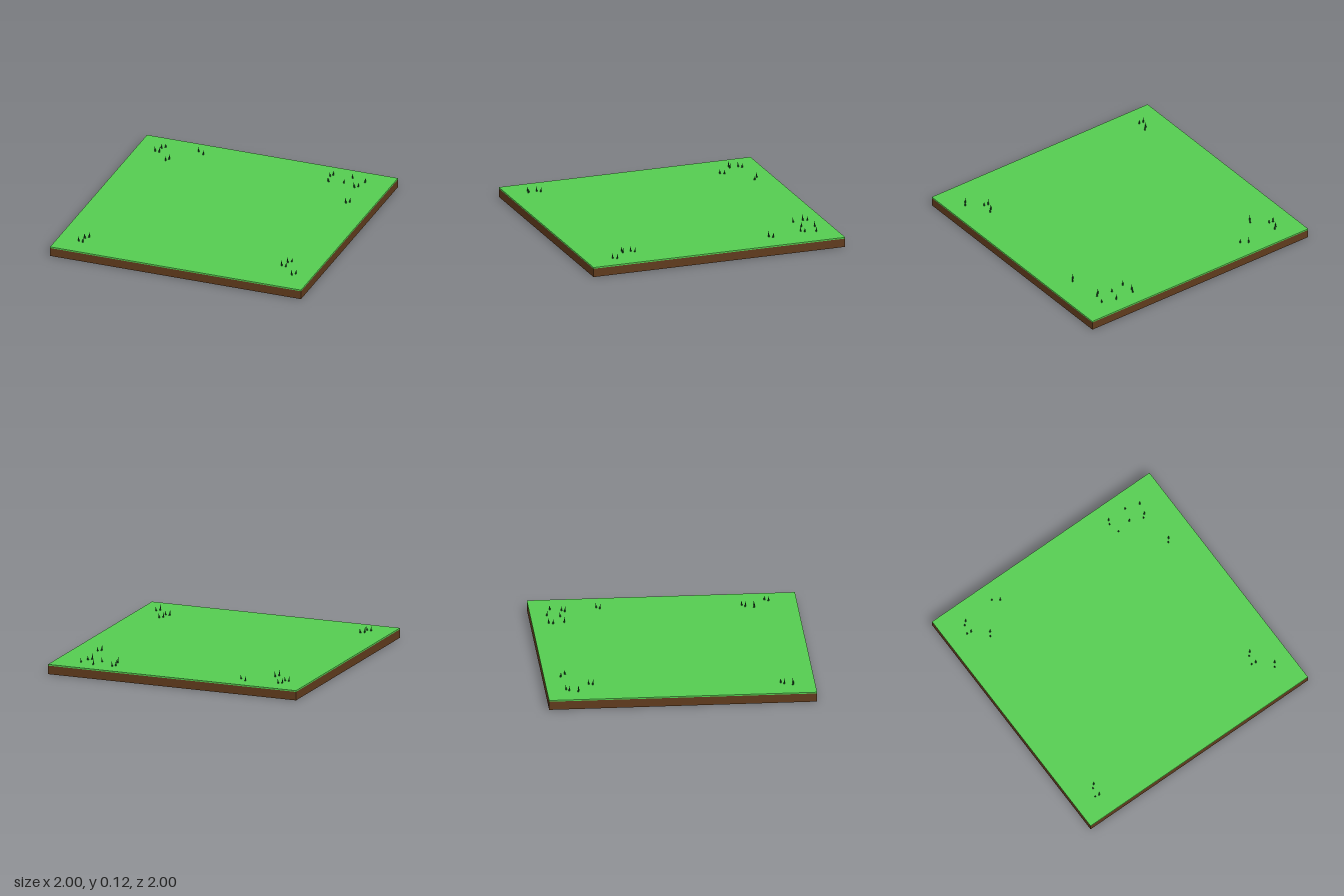
import * as THREE from 'three';

const SOIL_TOP = 0.065;
const GRASS_TOP = 0.075;

// Blade positions [x, z], two per tuft
const TUFTS = [
  [[-0.82, -0.835], [-0.797, -0.856]],
  [[-0.845, -0.77], [-0.813, -0.765]],
  [[-0.717, -0.652], [-0.7, -0.68]],
  [[-0.54, -0.877], [-0.49, -0.84]],
  [[0.52, -0.845], [0.533, -0.875]],
  [[0.54, -0.76], [0.655, -0.78]],
  [[0.687, -0.877], [0.798, -0.845]],
  [[0.755, -0.738], [0.778, -0.76]],
  [[0.79, -0.473], [0.81, -0.498]],
  [[0.745, 0.608], [0.768, 0.585]],
  [[0.722, 0.672], [0.755, 0.677]],
  [[0.847, 0.79], [0.867, 0.762]],
  [[-0.81, 0.77], [-0.787, 0.747]],
  [[-0.835, 0.833], [-0.803, 0.838]],
];

function material(color) {
  return new THREE.MeshStandardMaterial({ color, flatShading: true });
}

// Square slab between two heights
function slab(name, bottom, top, mat) {
  const mesh = new THREE.Mesh(new THREE.BoxGeometry(2, top - bottom, 2), mat);
  mesh.position.y = (bottom + top) / 2;
  mesh.name = name;
  return mesh;
}

export function createModel() {
  const model = new THREE.Group();
  model.name = 'grassTile';

  model.add(slab('soil', 0, SOIL_TOP, material(0x5f3a1c)));
  model.add(slab('grassLayer', SOIL_TOP, GRASS_TOP, material(0x55cc50)));

  // Thin spikes, rooted at the origin so they lean from their base
  const bladeMaterial = material(0x1f5a2a);
  const bladeGeometry = new THREE.ConeGeometry(0.007, 0.048, 5);
  bladeGeometry.translate(0, 0.022, 0);

  TUFTS.forEach((pair, i) => {
    const tuft = new THREE.Group();
    tuft.name = `grassTuft${i + 1}`;
    pair.forEach(([x, z], j) => {
      const blade = new THREE.Mesh(bladeGeometry, bladeMaterial);
      blade.name = 'grassBlade';
      blade.position.set(x, GRASS_TOP, z);
      // The two blades lean apart and the second is shorter
      const lean = j === 0 ? 0.1 : -0.1;
      blade.rotation.set(lean, 0, lean);
      blade.scale.y = j === 0 ? 1 : 0.85;
      tuft.add(blade);
    });
    model.add(tuft);
  });

  return model;
}
